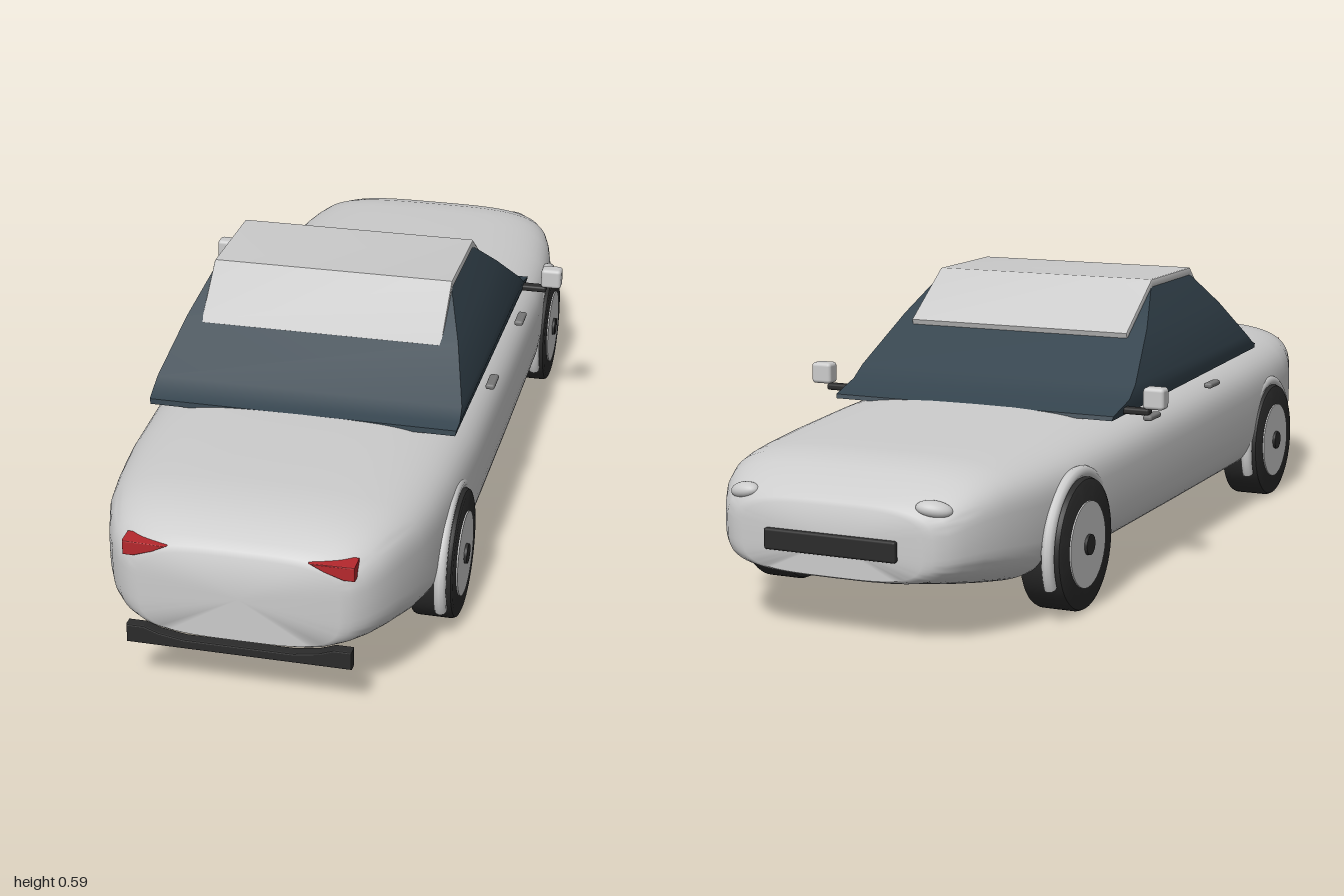
import * as THREE from 'three';
import { toCreasedNormals } from 'three/addons/utils/BufferGeometryUtils.js';
import { RoundedBoxGeometry } from 'three/addons/geometries/RoundedBoxGeometry.js';

const paint = new THREE.MeshStandardMaterial({ color: 0xcccccc });
const rubber = new THREE.MeshStandardMaterial({ color: 0x2b2b2b });
const glass = new THREE.MeshStandardMaterial({ color: 0x34434d });
const red = new THREE.MeshStandardMaterial({ color: 0xb5282d });
const metal = new THREE.MeshStandardMaterial({ color: 0x777777 });

// Skin a stack of equal-length rings and close both ends
function loft(rings) {
  const n = rings[0].length, pos = rings.flat(2), idx = [];
  for (let i = 0; i < rings.length - 1; i++) {
    for (let j = 0; j < n; j++) {
      const a = i * n + j, b = i * n + (j + 1) % n;
      idx.push(a, b, b + n, a, b + n, a + n);
    }
  }
  [0, rings.length - 1].forEach((r, end) => {
    const c = pos.length / 3;
    for (let k = 0; k < 3; k++) pos.push(rings[r].reduce((s, p) => s + p[k], 0) / n);
    for (let j = 0; j < n; j++) {
      const a = r * n + j, b = r * n + (j + 1) % n;
      idx.push(c, end ? a : b, end ? b : a);
    }
  });
  const g = new THREE.BufferGeometry();
  g.setAttribute('position', new THREE.Float32BufferAttribute(pos, 3));
  g.setIndex(idx);
  g.computeVertexNormals();
  return g;
}

// Superelliptic body section
function section(z, a, top, bottom, n = 3.7) {
  const pts = [], cy = (top + bottom) / 2, b = (top - bottom) / 2;
  const pw = (v) => Math.sign(v) * Math.pow(Math.abs(v), 2 / n);
  for (let j = 0; j < 72; j++) {
    const t = (j / 72) * Math.PI * 2;
    pts.push([a * pw(Math.cos(t)), cy + b * pw(Math.sin(t)), z]);
  }
  return pts;
}

function polygon(points) {
  return new THREE.Shape(points.map(([x, y]) => new THREE.Vector2(x, y)));
}

export function createModel() {
  const car = new THREE.Group();
  car.name = 'car';
  const add = (name, geo, mat, x = 0, y = 0, z = 0, parent = car) => {
    const m = new THREE.Mesh(geo, mat);
    m.name = name;
    m.position.set(x, y, z);
    parent.add(m);
    return m;
  };
  const box = (w, h, d, r = 0.005) => new RoundedBoxGeometry(w, h, d, 3, r);

  // Body: z, half width, top, bottom from nose to tail
  const stations = [
    [-0.99, 0.195, 0.262, 0.124], [-0.985, 0.215, 0.27, 0.121], [-0.97, 0.24, 0.282, 0.117],
    [-0.94, 0.263, 0.3, 0.111], [-0.9, 0.285, 0.321, 0.102], [-0.85, 0.304, 0.335, 0.091],
    [-0.8, 0.318, 0.339, 0.081], [-0.74, 0.33, 0.342, 0.07], [-0.6, 0.346, 0.347, 0.066],
    [-0.4, 0.355, 0.355, 0.065], [0, 0.356, 0.367, 0.065], [0.4, 0.355, 0.38, 0.065],
    [0.6, 0.346, 0.382, 0.066], [0.72, 0.334, 0.379, 0.07], [0.8, 0.32, 0.377, 0.085],
    [0.88, 0.294, 0.371, 0.103], [0.93, 0.271, 0.354, 0.114], [0.965, 0.246, 0.336, 0.122],
    [0.985, 0.22, 0.323, 0.126], [0.992, 0.2, 0.313, 0.13],
  ];
  add('body', toCreasedNormals(loft(stations.map((s) => section(...s))), 0.75), paint);

  // Glasshouse: half width, front z, front y, back z, back y
  const levels = [
    [0.325, -0.385, 0.345, 0.51, 0.37], [0.327, -0.382, 0.354, 0.508, 0.381],
    [0.329, -0.3, 0.376, 0.483, 0.388], [0.327, -0.262, 0.402, 0.452, 0.408],
    [0.295, -0.118, 0.5, 0.338, 0.5], [0.258, 0, 0.58, 0.23, 0.58],
  ];
  const cabin = loft(levels.map(([w, zf, yf, zb, yb]) =>
    [[w, yb, zb], [w, yf, zf], [-w, yf, zf], [-w, yb, zb]]));
  add('windows', toCreasedNormals(cabin, 0.6), glass);

  // Bent roof panel running down over both screens
  const roofShape = polygon([
    [-0.143, 0.481], [0, 0.577], [0.23, 0.577], [0.34, 0.485],
    [0.342, 0.492], [0.233, 0.588], [-0.003, 0.588], [-0.146, 0.49],
  ]);
  const roof = new THREE.ExtrudeGeometry(roofShape, {
    depth: 0.514, bevelThickness: 0.004, bevelSize: 0.004, bevelSegments: 2,
  });
  roof.translate(0, 0, -0.257).rotateY(-Math.PI / 2);
  add('roof', toCreasedNormals(roof, 0.5), paint);

  // Wheels and arch lips
  const tyreProfile = [[0, -0.045], [0.125, -0.045], [0.132, -0.042], [0.135, -0.035],
    [0.135, 0.035], [0.132, 0.042], [0.125, 0.045], [0, 0.045]];
  const tyre = toCreasedNormals(new THREE.LatheGeometry(
    tyreProfile.map(([r, y]) => new THREE.Vector2(r, y)), 48), 0.6).rotateZ(-Math.PI / 2);
  const disc = (r, h) => new THREE.CylinderGeometry(r, r, h, 40).rotateZ(Math.PI / 2);
  const arch = new THREE.TorusGeometry(0.144, 0.013, 10, 48, Math.PI * 1.28)
    .rotateZ(-Math.PI * 0.14).rotateY(Math.PI / 2);
  for (const side of [1, -1]) {
    const hand = side > 0 ? 'left' : 'right';
    for (const [end, z] of [['Front', -0.595], ['Rear', 0.57]]) {
      const wheel = new THREE.Group();
      wheel.name = `${hand}${end}Wheel`;
      wheel.position.set(side * 0.315, 0.135, z);
      car.add(wheel);
      add('tyre', tyre, rubber, 0, 0, 0, wheel);
      add('rim', disc(0.088, 0.02), paint, side * 0.038, 0, 0, wheel);
      add('hub', disc(0.021, 0.03), rubber, side * 0.039, 0, 0, wheel);
      add(`${hand}${end}Arch`, arch, paint, side * 0.338, 0.135, z);
    }

    // Door mirrors and handles
    add(`${hand}MirrorArm`, box(0.075, 0.014, 0.024), rubber, side * 0.345, 0.357, -0.315);
    add(`${hand}Mirror`, box(0.047, 0.046, 0.036, 0.008), paint, side * 0.394, 0.387, -0.315);
    for (const [y, z] of [[0.336, 0.17], [0.325, -0.2]]) {
      add(`${hand}Handle`, box(0.02, 0.012, 0.06), metal, side * 0.341, y, z);
    }

    // Headlight: teardrop pod
    const lamp = add(`${hand}Headlight`, new THREE.SphereGeometry(1, 24, 16), paint, side * 0.205, 0.268, -0.958);
    lamp.scale.set(0.036, 0.017, 0.022);
    lamp.rotation.set(0, side * -0.35, side * -0.15);

    // Tail light: wedge tapering towards the middle
    const wedge = polygon([[0.143, 0.318], [0.17, 0.306], [0.208, 0.293], [0.226, 0.293], [0.226, 0.318]]
      .map(([x, y]) => [side * x, y]));
    const tail = new THREE.ExtrudeGeometry(wedge, {
      depth: 0.036, bevelThickness: 0.003, bevelSize: 0.003, bevelSegments: 2,
    });
    add(`${hand}TailLight`, tail, red, 0, 0, 0.952);
  }

  // Grille in the nose
  add('grille', box(0.285, 0.042, 0.03), rubber, 0, 0.187, -0.985);

  // Rear bumper with a dipped top edge
  const bar = polygon([[-0.222, 0.104], [0.222, 0.104], [0.222, 0.137], [0.19, 0.137], [0.16, 0.126],
    [0.11, 0.118], [-0.11, 0.118], [-0.16, 0.126], [-0.19, 0.137], [-0.222, 0.137]]);
  const bumper = new THREE.ExtrudeGeometry(bar, {
    depth: 0.018, bevelThickness: 0.003, bevelSize: 0.003, bevelSegments: 2,
  });
  add('rearBumper', bumper, rubber, 0, 0, 0.979);
  return car;
}
